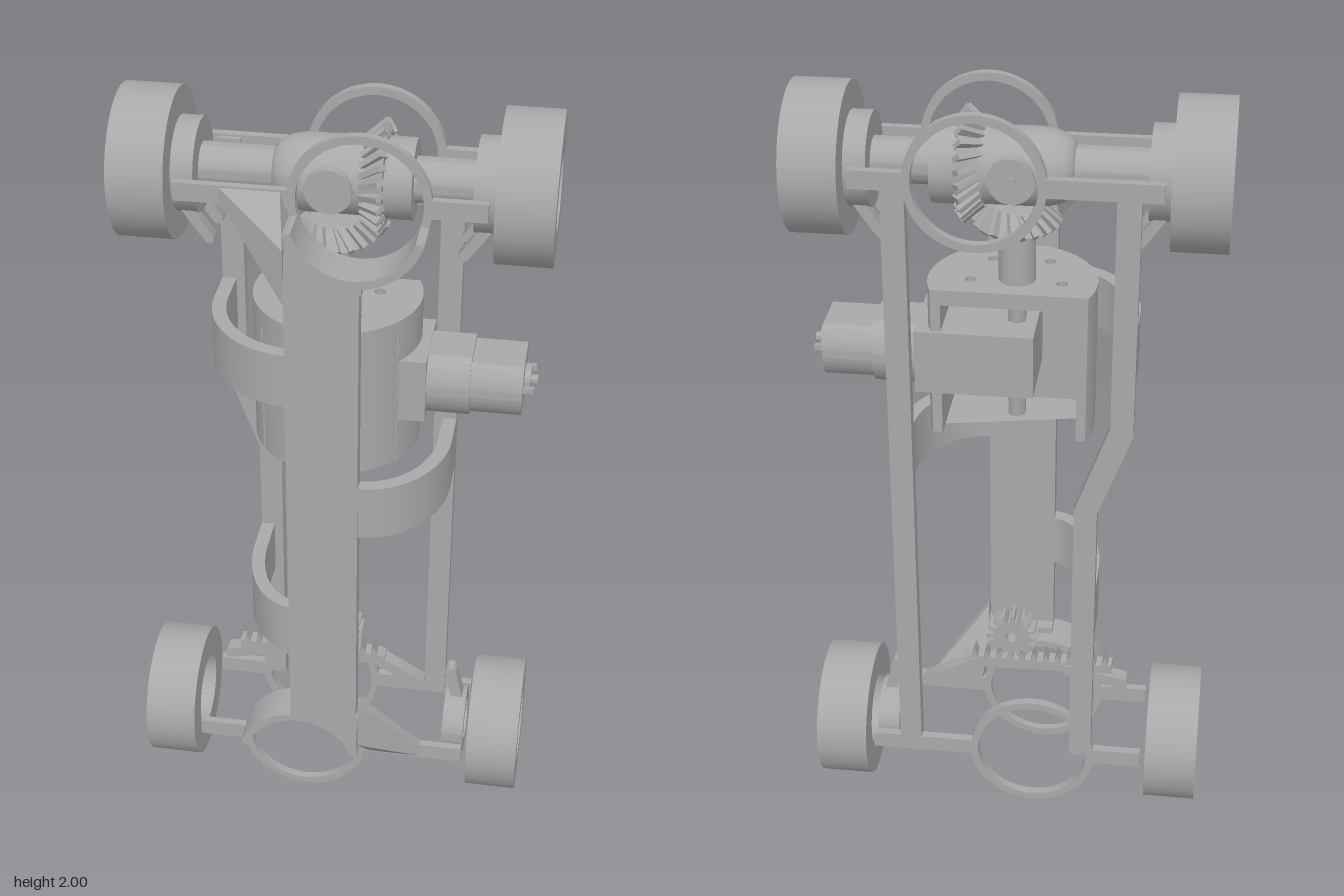
import * as THREE from 'three';
import { toCreasedNormals } from 'three/addons/utils/BufferGeometryUtils.js';
import { ConvexGeometry } from 'three/addons/geometries/ConvexGeometry.js';

const V2 = (x, y) => new THREE.Vector2(x, y);
const AXLE_Y = 1.82, LOW_Y = 0.185, AXLE_Z = -0.035;

export function createModel() {
  const model = new THREE.Group();
  const grey = new THREE.MeshStandardMaterial({ color: 0xa8a8a8 });

  function add(name, geo, x = 0, y = 0, z = 0, parent = model) {
    const m = new THREE.Mesh(geo, grey);
    m.name = name;
    m.position.set(x, y, z);
    parent.add(m);
    return m;
  }
  // box given by its limits
  const box = (name, x0, x1, y0, y1, z0, z1, parent) =>
    add(name, new THREE.BoxGeometry(x1 - x0, y1 - y0, z1 - z0), (x0 + x1) / 2, (y0 + y1) / 2, (z0 + z1) / 2, parent);
  // shape in the xy plane, extruded from z0 to z1
  const extrude = (shape, z0, z1) => toCreasedNormals(
    new THREE.ExtrudeGeometry(shape, { depth: z1 - z0, bevelEnabled: false, curveSegments: 40 }).translate(0, 0, z0), 0.5);
  // outline of [x, z] points, extruded from y0 to y1
  const extrudeUp = (pts, y0, y1, holes = []) => {
    const s = new THREE.Shape(pts.map(([x, z]) => V2(x, -z)));
    for (const [x, z, r] of holes) s.holes.push(new THREE.Path().absarc(x, -z, r, 0, Math.PI * 2, true));
    return extrude(s, y0, y1).rotateX(-Math.PI / 2);
  };
  const ringShape = (x, y, ro, ri) => {
    const s = new THREE.Shape().absarc(x, y, ro, 0, Math.PI * 2);
    s.holes.push(new THREE.Path().absarc(x, y, ri, 0, Math.PI * 2, true));
    return s;
  };
  // solid turned about the x axis from [x, radius] points
  const turnX = (pts) => toCreasedNormals(
    new THREE.LatheGeometry(pts.map(([x, r]) => V2(r, x)), 48).rotateZ(-Math.PI / 2), 0.6);
  const rodX = (name, x0, x1, r, y, z) => add(name, turnX([[x0, 0], [x0, r], [x1, r], [x1, 0]]), 0, y, z);
  // flat link with round ends
  const link = (name, x0, y0, x1, y1, w, z0, z1) => {
    const a = Math.atan2(y1 - y0, x1 - x0), h = Math.PI / 2;
    const s = new THREE.Shape();
    s.absarc(x1, y1, w / 2, a - h, a + h);
    s.absarc(x0, y0, w / 2, a + h, a + 3 * h);
    add(name, extrude(s, z0, z1));
  };

  // wheels: thick open tubes
  for (const s of [-1, 1]) for (const y of [AXLE_Y, LOW_Y]) {
    const wheel = turnX([[-0.0675, 0.1], [0.0675, 0.1], [0.0675, 0.18], [-0.0675, 0.18], [-0.0675, 0.1]].reverse());
    add('wheel', wheel, s * 0.4425, y, AXLE_Z).material.side = THREE.DoubleSide;
  }

  // driven axle: hubs, bolts and tubes
  for (const s of [-1, 1]) {
    const [a, b] = [s * 0.322, s * 0.385].sort((p, q) => p - q);
    rodX('hub', a, b, 0.112, AXLE_Y, AXLE_Z);
    const [c, d] = [s * 0.38, s * 0.40].sort((p, q) => p - q);
    rodX('hubCap', c, d, 0.04, AXLE_Y, AXLE_Z);
    for (let i = 0; i < 4; i++) {
      const t = i * Math.PI / 2;
      rodX('hubBolt', c, d, 0.012, AXLE_Y + 0.075 * Math.cos(t), AXLE_Z + 0.075 * Math.sin(t));
    }
    link('hubBrace', s * 0.36, 1.745, s * 0.3, 1.66, 0.025, -0.1, -0.07);
    link('hubBrace', s * 0.36, 1.745, s * 0.3, 1.66, 0.025, 0.0, 0.03);
  }
  rodX('axleTube', -0.33, -0.13, 0.054, AXLE_Y, AXLE_Z);
  rodX('axleTube', 0.17, 0.33, 0.054, AXLE_Y, AXLE_Z);

  // differential with rounded end
  const dome = [[-0.15, 0], [-0.15, 0.05]];
  for (let i = 1; i <= 8; i++) {
    const t = i / 8 * Math.PI / 2;
    dome.push([-0.06 - 0.09 * Math.cos(t), 0.05 + 0.042 * Math.sin(t)]);
  }
  add('differential', turnX([...dome, [0.07, 0.092], [0.07, 0]]), 0, AXLE_Y, AXLE_Z);
  const boss = new THREE.CylinderGeometry(0.055, 0.055, 0.205, 40).rotateX(Math.PI / 2);
  add('differentialBoss', boss, -0.01, AXLE_Y, AXLE_Z);
  add('bossPin', new THREE.CylinderGeometry(0.012, 0.012, 0.215, 16).rotateX(Math.PI / 2), -0.01, AXLE_Y, AXLE_Z);
  rodX('ringGearCollar', 0.115, 0.18, 0.095, AXLE_Y, AXLE_Z);

  // bevel gear about local y, with slanted teeth on the cone
  function bevelGear(name, rBig, rSmall, h, count) {
    const g = new THREE.Group();
    g.name = name;
    add('gearCone', new THREE.CylinderGeometry(rSmall - 0.012, rBig - 0.018, h, 48), 0, 0, 0, g);
    const slope = Math.atan2(rBig - rSmall, h);
    const len = Math.hypot(rBig - rSmall, h);
    for (let i = 0; i < count; i++) {
      const arm = new THREE.Group();
      arm.rotation.y = i / count * Math.PI * 2;
      const tooth = add('gearTooth', new THREE.BoxGeometry(0.028, len, 0.013), (rBig + rSmall) / 2 - 0.014, 0, 0, arm);
      tooth.rotation.set(0.35, 0, slope);
      g.add(arm);
    }
    model.add(g);
    return g;
  }
  const ringGear = bevelGear('ringGear', 0.14, 0.1, 0.05, 24);
  ringGear.position.set(0.09, AXLE_Y, AXLE_Z);
  ringGear.rotation.z = Math.PI / 2;
  bevelGear('pinionGear', 0.11, 0.07, 0.045, 18).position.set(-0.01, 1.69, -0.02);
  add('driveShaft', new THREE.CylinderGeometry(0.045, 0.045, 0.2, 32), -0.01, 1.59, -0.012);

  // motor housing: round in front, cut flat and hollow at the back
  const arc = [];
  for (let i = 0; i <= 40; i++) {
    const t = -0.4 + i / 40 * (Math.PI + 0.8);
    arc.push([0.205 * Math.cos(t), -0.02 + 0.205 * Math.sin(t)]);
  }
  const cavity = [[-0.165, -0.1], [-0.165, 0.105], [0.165, 0.105], [0.165, -0.1]];
  add('housingWall', extrudeUp([...arc, ...cavity], 1.128, 1.48));
  add('housingTop', extrudeUp(arc, 1.48, 1.52, [[-0.12, -0.03, 0.014], [0.1, -0.03, 0.014], [-0.08, 0.09, 0.014], [0.06, 0.09, 0.014]]));

  // gear motor lying across the housing
  box('gearbox', -0.06, 0.23, 1.245, 1.41, -0.108, 0.1);
  add('outputShaft', new THREE.CylinderGeometry(0.024, 0.024, 0.36, 6), -0.01, 1.33, -0.012);
  const canShape = (r, f) => {
    const a = Math.asin(f / r), s = new THREE.Shape();
    s.absarc(0, 0, r, -a, a);
    s.absarc(0, 0, r, Math.PI - a, Math.PI + a);
    return s;
  };
  const canGeo = (r, f, x0, x1) => extrude(canShape(r, f), x0, x1).rotateY(Math.PI / 2);
  add('motorCollar', canGeo(0.098, 0.08, 0.22, 0.335), 0, 1.327, -0.004);
  add('motorCan', canGeo(0.09, 0.068, 0.33, 0.46), 0, 1.327, -0.004);
  rodX('motorCap', 0.455, 0.475, 0.035, 1.327, -0.004);
  rodX('motorPin', 0.47, 0.492, 0.012, 1.327, -0.004);
  for (const s of [-1, 1]) box('motorTerminal', 0.455, 0.485, 1.32, 1.335, s * 0.055 - 0.01, s * 0.055);

  // front spine
  box('spine', -0.09, 0.085, 0.35, 1.66, 0.175, 0.213);

  // frame ends: the lower end is the upper one turned half round
  for (const turned of [false, true]) {
    const end = new THREE.Group();
    end.name = turned ? 'lowerFrameEnd' : 'upperFrameEnd';
    if (turned) {
      end.rotation.z = Math.PI;
      end.position.y = 2.008;
    }
    for (const [z0, z1] of [[0.102, 0.122], [-0.172, -0.15]]) {
      add('frameRing', extrude(ringShape(0.07, 1.823, 0.166, 0.146), z0, z1), 0, 0, 0, end);
      box('crossBar', -0.36, -0.09, 1.8, 1.845, z0, z1, end);
      box('crossBar', 0.23, 0.36, 1.8, 1.845, z0, z1, end);
    }
    // half cup joining spine and ring
    const cup = new THREE.Shape();
    cup.absarc(0.07, 1.823, 0.166, 3.4, 6.0);
    cup.absarc(0.07, 1.823, 0.146, 6.0, 3.4, true);
    add('ringCup', extrude(cup, 0.11, 0.213), 0, 0, 0, end);
    // spine tip following the ring
    const tip = new THREE.Shape([V2(-0.09, 1.64), V2(0.09, 1.64), V2(0.09, 1.66)]);
    tip.absarc(0.07, 1.823, 0.16, -1.5, -Math.PI + 0.25, true);
    add('spineTip', extrude(tip, 0.14, 0.213), 0, 0, 0, end);
    // slanted gusset out to the cross bar
    const pts = [[-0.09, 1.6, 0.213], [-0.09, 1.6, 0.175], [-0.09, 1.74, 0.213], [-0.09, 1.77, 0.12], [-0.09, 1.74, 0.102],
      [-0.25, 1.84, 0.122], [-0.25, 1.84, 0.102], [-0.25, 1.805, 0.122], [-0.25, 1.805, 0.102],
      [-0.11, 1.84, 0.122], [-0.11, 1.84, 0.102]];
    add('gusset', new ConvexGeometry(pts.map((p) => new THREE.Vector3(...p))), 0, 0, 0, end);
    model.add(end);
  }

  // rear rails, one straight and one cranked
  box('straightRail', 0.23, 0.287, 0.19, 1.82, -0.172, -0.137);
  const crank = [[-0.31, 1.84], [-0.31, 1.19], [-0.228, 0.965], [-0.228, 0.19], [-0.17, 0.19],
    [-0.17, 0.97], [-0.254, 1.21], [-0.254, 1.84]];
  add('crankedRail', extrude(new THREE.Shape(crank.map(([x, y]) => V2(x, y))), -0.172, -0.137));

  // curved straps from spine to rails
  function strap(s, reach, y0, y1) {
    const outer = [], inner = [], t = 0.035;
    for (let i = 0; i <= 20; i++) {
      const a = i / 20 * Math.PI / 2;
      outer.push([s * (0.08 + (reach - 0.08) * Math.sin(a)), -0.04 + 0.25 * Math.cos(a)]);
      inner.push([s * (0.08 + (reach - 0.08 - t) * Math.sin(a)), -0.04 + (0.25 - t) * Math.cos(a)]);
    }
    outer.push([s * reach, -0.145], [s * (reach - t), -0.145]);
    add('curvedStrap', extrudeUp([...outer, ...inner.reverse()], y0, y1));
  }
  strap(-1, 0.31, 1.325, 1.465);
  strap(1, 0.287, 0.96, 1.105);
  strap(-1, 0.228, 0.57, 0.715);

  // steering: pinion, rack, links and knuckle
  const gear = new THREE.Shape();
  for (let i = 0; i < 64; i++) {
    const t = i / 64 * Math.PI * 2, r = i % 4 < 2 ? 0.068 : 0.048;
    gear[i ? 'lineTo' : 'moveTo'](r * Math.cos(t), r * Math.sin(t));
  }
  gear.closePath();
  gear.holes.push(new THREE.Path().absarc(0, 0, 0.015, 0, Math.PI * 2, true));
  add('steeringPinion', extrude(gear, -0.055, -0.003), 0, 0.475, 0);
  const rack = [[-0.27, 0.375], [-0.27, 0.4]];
  for (let x = -0.26; x < 0.12; x += 0.032) rack.push([x, 0.4], [x + 0.008, 0.425], [x + 0.016, 0.4]);
  rack.push([0.13, 0.39], [0.13, 0.365]);
  add('steeringRack', extrude(new THREE.Shape(rack.map(([x, y]) => V2(x, y))), -0.05, -0.01));
  link('tieRod', -0.3, 0.347, -0.15, 0.378, 0.03, -0.055, -0.015);
  link('tieRod', 0.1, 0.38, 0.225, 0.305, 0.03, -0.055, -0.015);
  link('steeringArm', 0.312, 0.355, 0.335, 0.26, 0.03, -0.055, -0.015);
  add('knuckle', extrude(ringShape(0, 0, 0.092, 0.06), 0.3, 0.358).rotateY(Math.PI / 2), 0, LOW_Y, AXLE_Z);
  return model;
}
